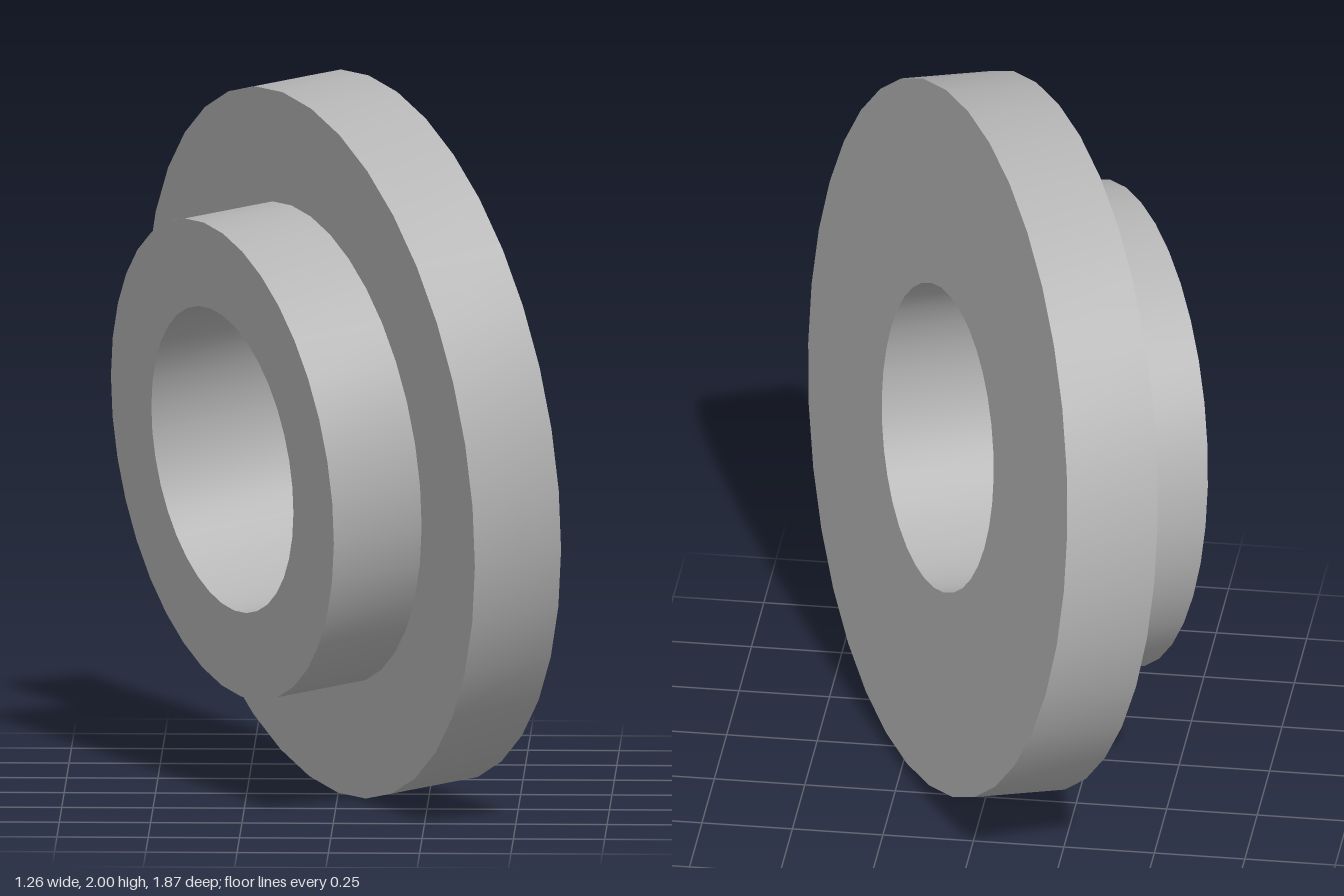
import * as THREE from 'three';
import { toCreasedNormals } from 'three/addons/utils/BufferGeometryUtils.js';

const BORE = 0.427, HUB = 0.67, FLANGE = 0.99;   // radii
const FLANGE_BACK = 0, FLANGE_FRONT = -0.265, HUB_FRONT = -0.535;   // positions along the axis

export function createModel() {
  const model = new THREE.Group();
  model.name = 'flangedBushing';

  const grey = new THREE.MeshStandardMaterial({ color: 0xb4b4b4 });
  grey.name = 'plain grey';

  // Closed stepped section: hub face, hub wall, flange shoulder, rim, back face, bore
  const section = [
    [BORE, HUB_FRONT], [HUB, HUB_FRONT],
    [HUB, FLANGE_FRONT], [FLANGE, FLANGE_FRONT],
    [FLANGE, FLANGE_BACK], [BORE, FLANGE_BACK],
    [BORE, HUB_FRONT],
  ].map(([r, y]) => new THREE.Vector2(r, y));

  // Smooth round walls, sharp edges between faces
  const geometry = toCreasedNormals(new THREE.LatheGeometry(section, 36), 0.6);
  const ring = new THREE.Mesh(geometry, grey);
  ring.name = 'flangeAndHub';

  // Tilt the axis and stand the rim on the ground
  const axis = new THREE.Vector3(0.878, 0.103, -0.467).normalize();
  ring.quaternion.setFromUnitVectors(new THREE.Vector3(0, 1, 0), axis);
  ring.position.set(0.158, 1.014, -0.065);
  model.add(ring);

  return model;
}
